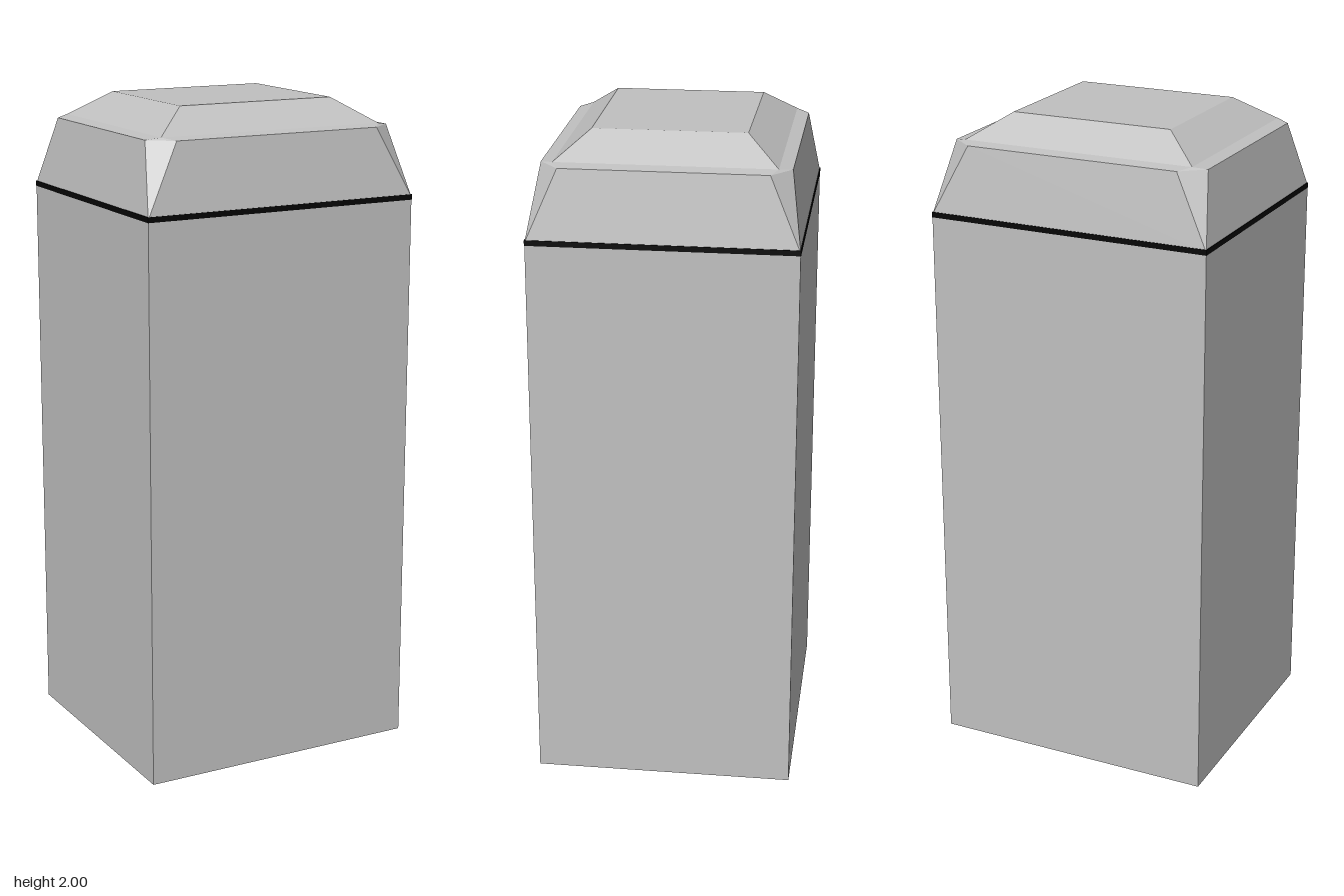
import * as THREE from 'three';
import { ConvexGeometry } from 'three/addons/geometries/ConvexGeometry.js';

const HX = 0.437, HZ = 0.391; // half width and half depth of the post
const SEAM = 1.71, RIM = 1.92, LEDGE = 1.927, TOP = 2;

// Mirror a point into all four corners
const corners = (x, y, z) =>
  [[1, 1], [1, -1], [-1, 1], [-1, -1]].map(([a, b]) => new THREE.Vector3(a * x, y, b * z));

export function createModel() {
  const group = new THREE.Group();
  const stone = new THREE.MeshStandardMaterial({ color: 0xc0c0c0 });
  const black = new THREE.MeshStandardMaterial({ color: 0x050505 });
  stone.name = 'grey stone';
  black.name = 'black seam';

  const add = (name, geometry, material, y = 0) => {
    const mesh = new THREE.Mesh(geometry, material);
    mesh.name = name;
    mesh.position.y = y;
    group.add(mesh);
  };

  // Square post
  add('post', new THREE.BoxGeometry(HX * 2, SEAM, HZ * 2), stone, SEAM / 2);

  // Thin dark joint around the post
  const joint = new THREE.BoxGeometry(HX * 2 + 0.002, 0.016, HZ * 2 + 0.002);
  add('seam', joint, black, SEAM);

  // Tapered shoulder whose corners are cut into triangles
  const rim = [...corners(0.4, RIM, 0.3), ...corners(0.33, RIM, 0.358)];
  add('shoulder', new ConvexGeometry([...corners(HX, SEAM, HZ), ...rim]), stone);

  // Slightly sloping ledge on the shoulder
  const inner = corners(0.36, LEDGE, 0.32);
  add('ledge', new ConvexGeometry([...rim, ...inner]), stone);

  // Bevelled cap
  add('cap', new ConvexGeometry([...inner, ...corners(0.25, TOP, 0.224)]), stone);

  return group;
}
